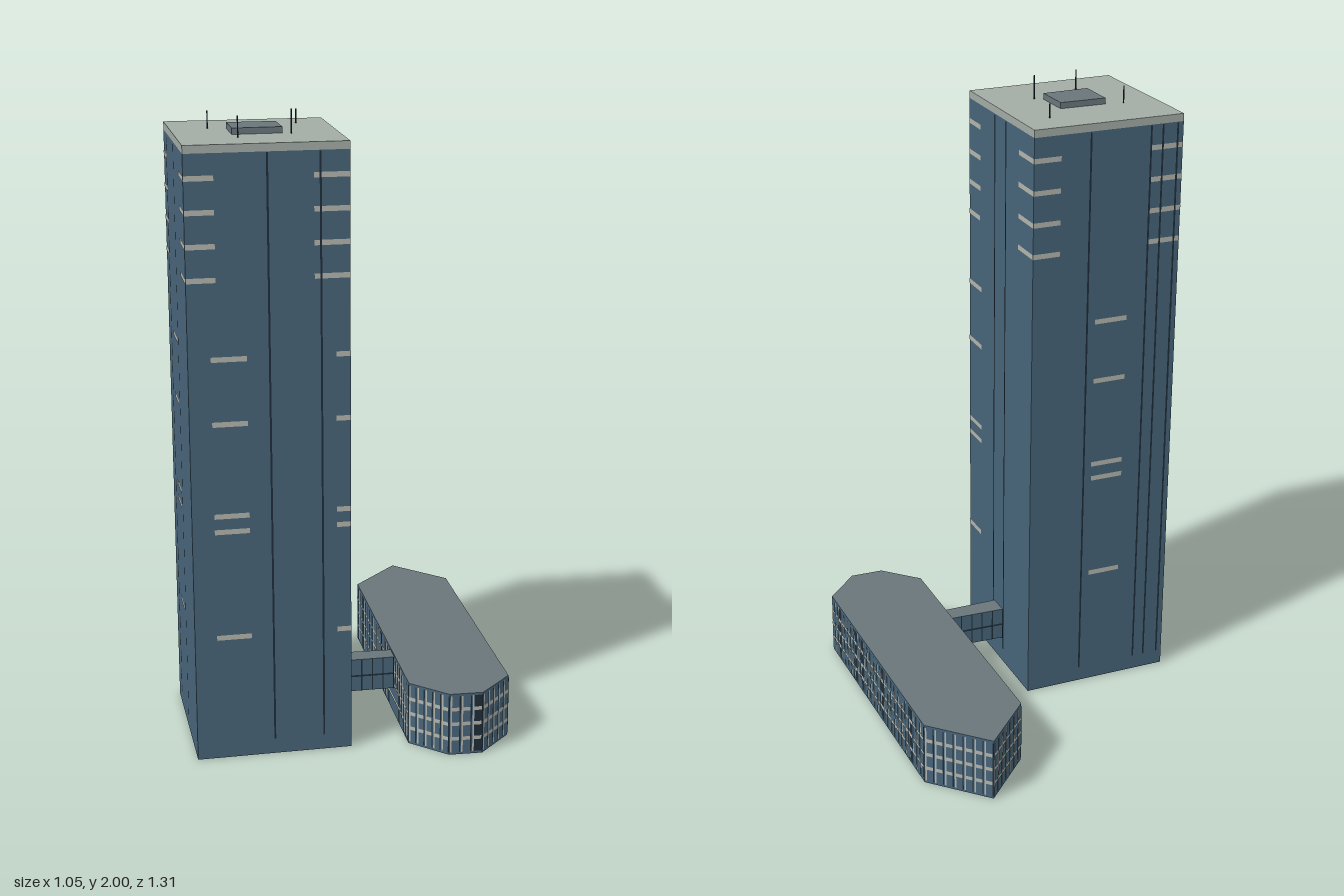
import * as THREE from 'three';

const mat = (name, color) => {
  const m = new THREE.MeshStandardMaterial({ color });
  m.name = name;
  return m;
};

export function createModel() {
  const glass = mat('blueGlass', 0x476478);
  const dark = mat('darkMetal', 0x1d2c37);
  const pale = mat('paleStone', 0xb2b4ab);
  const roof = mat('lightRoof', 0xa3aba5);
  const slate = mat('slateRoof', 0x69757a);

  const model = new THREE.Group();
  model.name = 'towerWithAnnex';

  const add = (parent, name, geometry, material) => {
    const mesh = new THREE.Mesh(geometry, material);
    mesh.name = name;
    parent.add(mesh);
    return mesh;
  };

  // Upright prism over an [x, z] outline
  const prism = (name, pts, y0, y1, capMat, sideMat) => {
    const shape = new THREE.Shape(pts.map(([x, z]) => new THREE.Vector2(x, -z)));
    const g = new THREE.ExtrudeGeometry(shape, { depth: y1 - y0, bevelEnabled: false });
    g.rotateX(-Math.PI / 2).translate(0, y0, 0);
    return add(model, name, g, [capMat, sideMat]);
  };

  // Wall frame: x runs from p to q, y is up, z points outward
  const wall = (name, p, q) => {
    const group = new THREE.Group();
    group.name = name;
    group.position.set(p[0], 0, p[1]);
    group.rotation.y = Math.atan2(p[1] - q[1], q[0] - p[0]);
    model.add(group);
    return { group, length: Math.hypot(q[0] - p[0], q[1] - p[1]) };
  };

  // Flat painted strip just off a wall
  const strip = (group, name, x0, x1, y0, y1, material, offset = 0.001) => {
    const g = new THREE.PlaneGeometry(x1 - x0, y1 - y0);
    g.translate((x0 + x1) / 2, (y0 + y1) / 2, offset);
    return add(group, name, g, material);
  };

  // Tower shaft, roof slab and plant room
  const tower = [[-0.525, 0.34], [-0.13, 0.652], [0.175, 0.27], [-0.21, -0.04]];
  prism('towerShaft', tower, 0, 1.902, glass, glass);
  prism('roofSlab', tower, 1.902, 1.926, roof, roof);
  prism('plantRoom', [[-0.27, 0.325], [-0.17, 0.405], [-0.077, 0.285], [-0.173, 0.21]],
    1.926, 1.945, slate, slate);

  // Facade joints and pale bands, as fractions along each face
  const upper = [1.83, 1.73, 1.63, 1.53];
  const lower = [1.29, 1.09, 0.8, 0.75, 0.405];
  const faces = [
    { name: 'frontLeftFace', joints: [0.18, 0.555], low: [[0.27, 0.49]] },
    { name: 'frontRightFace', joints: [0.5, 0.82], low: [[0.14, 0.36], [0.91, 1]] },
    { name: 'backRightFace', joints: [0.42, 0.59], low: [[0, 0.2]] },
    { name: 'backLeftFace', joints: [0.375, 0.78, 0.86, 0.96], low: [[0.43, 0.65]] },
  ];
  faces.forEach(({ name, joints, low }, i) => {
    const { group, length } = wall(name, tower[i], tower[(i + 1) % 4]);
    for (const t of joints)
      strip(group, 'verticalJoint', t * length - 0.003, t * length + 0.003, 0.05, 1.9, dark, 0.002);
    const bands = (heights, spans) => {
      for (const y of heights)
        for (const [a, b] of spans)
          strip(group, 'paleBand', a * length, b * length, y - 0.008, y + 0.008, pale);
    };
    bands(upper, [[0, 0.18], [0.78, 1]]);
    bands(lower, low);
  });
  // Pale trim beside the first joint
  const trim = wall('frontTrim', tower[0], tower[1]);
  strip(trim.group, 'paleTrim', 0.094, 0.099, 0.05, 1.9, pale, 0.002);

  // Roof antennas: x, z, top
  for (const [x, z, top] of [[-0.19, 0.1, 1.97], [-0.05, 0.275, 2], [-0.315, 0.36, 1.98], [-0.115, 0.437, 1.99]]) {
    const mast = add(model, 'antenna', new THREE.CylinderGeometry(0.002, 0.002, top - 1.925, 6), dark);
    mast.position.set(x, (top + 1.925) / 2, z);
  }

  // Low annex with chamfered ends
  const annex = [[-0.37, -0.405], [0.3, 0.137], [0.45, 0.12], [0.52, 0.04],
    [0.505, -0.115], [-0.165, -0.655], [-0.393, -0.63]];
  prism('annexFloor', annex, 0, 0.006, roof, glass);
  prism('annexBody', annex, 0.006, 0.207, slate, glass);

  let seed = 7;
  const random = () => (seed = (seed * 16807) % 2147483647) / 2147483647;

  // Window grid: pale mullions and floor lines, broken by dark panes and posts
  const windows = ({ group, length }) => {
    const n = Math.max(2, Math.round(length / 0.032));
    const w = length / n;
    for (let i = 0; i < n; i++) {
      const x = i * w;
      if (random() < 0.25) strip(group, 'darkWindow', x + 0.008, x + w - 0.004, 0.008, 0.2, dark);
      strip(group, 'paleMullion', x + 0.003, x + 0.008, 0.008, 0.2, pale, 0.0015);
      strip(group, 'darkPost', x + w - 0.004, x + w, 0.008, 0.2, dark, 0.0015);
      for (const y of [0.055, 0.105, 0.155])
        strip(group, 'floorLine', x + 0.003, x + w - 0.004, y - 0.006, y + 0.006, pale, 0.002);
    }
  };
  annex.forEach((p, i) => windows(wall('annexWall', p, annex[(i + 1) % annex.length])));

  // Link bridge between tower and annex
  const bridge = [[-0.045, 0.095], [0.01, 0.135], [0.125, -0.005], [0.08, -0.045]];
  prism('bridge', bridge, 0.09, 0.2, slate, glass);
  for (const i of [1, 3]) {
    const side = wall('bridgeSide', bridge[i], bridge[(i + 1) % 4]);
    for (let k = 0; k <= 5; k++) {
      const x = (k / 5) * (side.length - 0.004);
      strip(side.group, 'bridgeMullion', x, x + 0.004, 0.09, 0.2, dark);
    }
    strip(side.group, 'bridgeRail', 0, side.length, 0.14, 0.146, dark, 0.0015);
  }

  return model;
}
